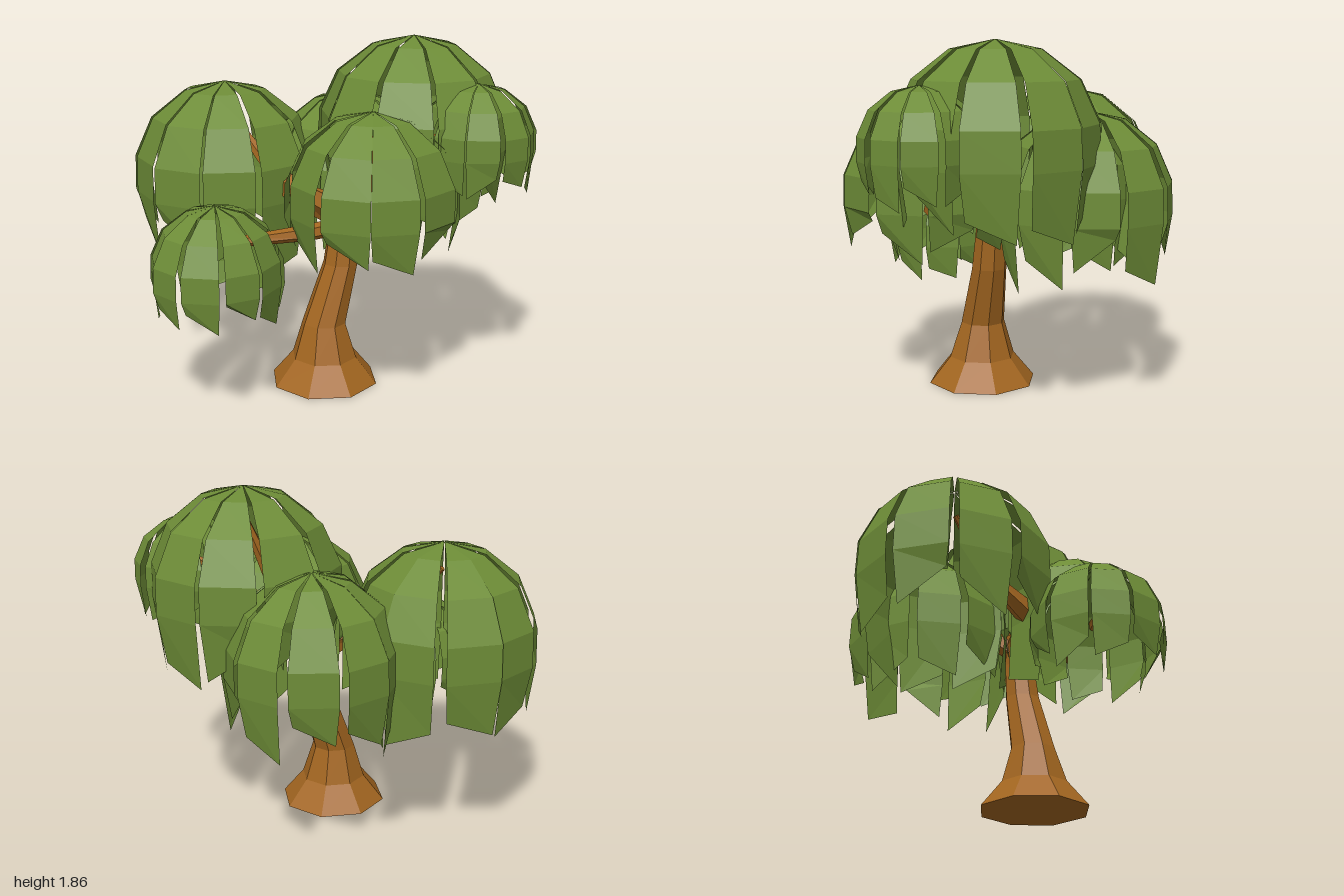
import * as THREE from 'three';

const bark = new THREE.MeshStandardMaterial({ color: 0xa36620, flatShading: true });
const leaf = new THREE.MeshStandardMaterial({ color: 0x6d8c37, flatShading: true, side: THREE.DoubleSide });

function seeded(seed) {
  let s = seed * 7919 + 17;
  return () => (s = (s * 16807) % 2147483647) / 2147483647;
}

function meshFrom(name, positions, indices, material) {
  const geometry = new THREE.BufferGeometry();
  geometry.setAttribute('position', new THREE.Float32BufferAttribute(positions, 3));
  geometry.setIndex(indices);
  geometry.computeVertexNormals();
  const mesh = new THREE.Mesh(geometry, material);
  mesh.name = name;
  return mesh;
}

// Tapered limb through rings given as [x, y, z, radius], closed at both ends
function limb(name, rings, sides, level = false) {
  const positions = [], indices = [];
  const centres = rings.map(([x, y, z]) => new THREE.Vector3(x, y, z));
  const up = new THREE.Vector3(0, 1, 0);
  const last = rings.length - 1;
  rings.forEach((ring, i) => {
    const tangent = centres[Math.min(i + 1, last)].clone().sub(centres[Math.max(i - 1, 0)]).normalize();
    const turn = new THREE.Quaternion().setFromUnitVectors(up, level ? up : tangent);
    for (let k = 0; k < sides; k++) {
      const a = (k / sides) * Math.PI * 2;
      const p = new THREE.Vector3(Math.cos(a), 0, -Math.sin(a)).multiplyScalar(ring[3]);
      positions.push(...p.applyQuaternion(turn).add(centres[i]));
      if (i < last) {
        const b = i * sides + k, c = i * sides + (k + 1) % sides;
        indices.push(b, c, c + sides, b, c + sides, b + sides);
      }
    }
  });
  const base = positions.length / 3;
  positions.push(...centres[0], ...centres[last]);
  for (let k = 0; k < sides; k++) {
    const n = (k + 1) % sides;
    indices.push(base, n, k, base + 1, last * sides + k, last * sides + n);
  }
  return meshFrom(name, positions, indices, bark);
}

// Drooping frond outline: [radius, drop] as fractions of the canopy radius
const profile = [[0.015, 0], [0.44, 0.09], [0.81, 0.38], [1, 0.8], [1.01, 1.18]];

function frond(angle, width, radius, length, slant, flare) {
  const positions = [], indices = [];
  const put = (r, drop, a) => positions.push(
    Math.sin(a) * r * radius, -drop * radius, Math.cos(a) * r * radius);
  for (const [r, drop] of profile) {
    put(r * flare, drop, angle - width / 2);
    put(r * flare, drop, angle + width / 2);
  }
  // The hanging end is cut on a slant
  put(0.93 * flare, length - Math.max(slant, 0), angle - width * 0.46);
  put(0.93 * flare, length + Math.min(slant, 0), angle + width * 0.46);
  for (let i = 0; i < profile.length; i++) {
    const j = i * 2;
    indices.push(j, j + 2, j + 3, j, j + 3, j + 1);
  }
  return meshFrom('frond', positions, indices, leaf);
}

// Ten fronds around a centre, the first one turned by a phase in degrees
function canopy(name, [x, y, z], radius, length, phase, seed) {
  const group = new THREE.Group();
  group.name = name;
  const random = seeded(seed);
  const count = 10;
  const step = (Math.PI * 2) / count;
  for (let i = 0; i < count; i++) {
    const angle = (i + 0.12 * (random() - 0.5)) * step + THREE.MathUtils.degToRad(phase);
    const slant = (random() < 0.5 ? 1 : -1) * (0.15 + random() * 0.2);
    group.add(frond(angle, step * (0.85 + 0.08 * random()), radius,
      length - random() * 0.35, slant, 0.97 + random() * 0.06));
  }
  group.position.set(x, y, z);
  return group;
}

export function createModel() {
  const tree = new THREE.Group();
  tree.name = 'willowTree';

  // Flared, leaning trunk
  tree.add(limb('trunk', [
    [0, 0, 0.155, 0.295], [0, 0.14, 0.155, 0.18], [0, 0.33, 0.15, 0.12],
    [0.105, 0.65, 0.14, 0.095], [0.13, 0.85, 0.135, 0.085], [0.11, 1.02, 0.13, 0.08],
  ], 8, true));

  // Branches reaching into each canopy
  const branches = {
    crownBranch: [[0.11, 0.95, 0.13, 0.07], [0.3, 1.2, 0.17, 0.05], [0.5, 1.7, 0.21, 0.02]],
    backLeftBranch: [[0.1, 0.93, 0.13, 0.085], [-0.13, 1.05, 0.08, 0.075], [-0.2, 1.2, -0.2, 0.035], [-0.31, 1.45, -0.42, 0.015]],
    backRightBranch: [[0.12, 0.92, 0.12, 0.06], [0.25, 1.12, -0.1, 0.045], [0.4, 1.38, -0.3, 0.018]],
    frontBranch: [[0.12, 0.88, 0.14, 0.06], [0.11, 1.02, 0.36, 0.05], [0.1, 1.4, 0.47, 0.018]],
    frontRightBranch: [[0.3, 1.2, 0.17, 0.045], [0.47, 1.33, 0.4, 0.03], [0.62, 1.42, 0.62, 0.02]],
    leftBranch: [[0.1, 0.96, 0.42, 0.05], [-0.22, 0.93, 0.39, 0.042], [-0.58, 0.9, 0.28, 0.026]],
  };
  for (const [name, rings] of Object.entries(branches)) tree.add(limb(name, rings, 6));

  // Umbrella-shaped clusters of hanging fronds
  tree.add(
    canopy('crownCanopy', [0.5, 1.86, 0.21], 0.505, 1.92, 0, 1),
    canopy('backLeftCanopy', [-0.31, 1.59, -0.43], 0.505, 2.0, 16, 2),
    canopy('backRightCanopy', [0.4, 1.5, -0.3], 0.455, 1.98, 5, 3),
    canopy('frontCanopy', [0.1, 1.53, 0.47], 0.435, 1.86, 22, 4),
    canopy('frontRightCanopy', [0.63, 1.65, 0.61], 0.295, 2.0, 8, 5),
    canopy('leftCanopy', [-0.65, 1.08, 0.21], 0.335, 1.87, 1, 6),
  );
  return tree;
}
